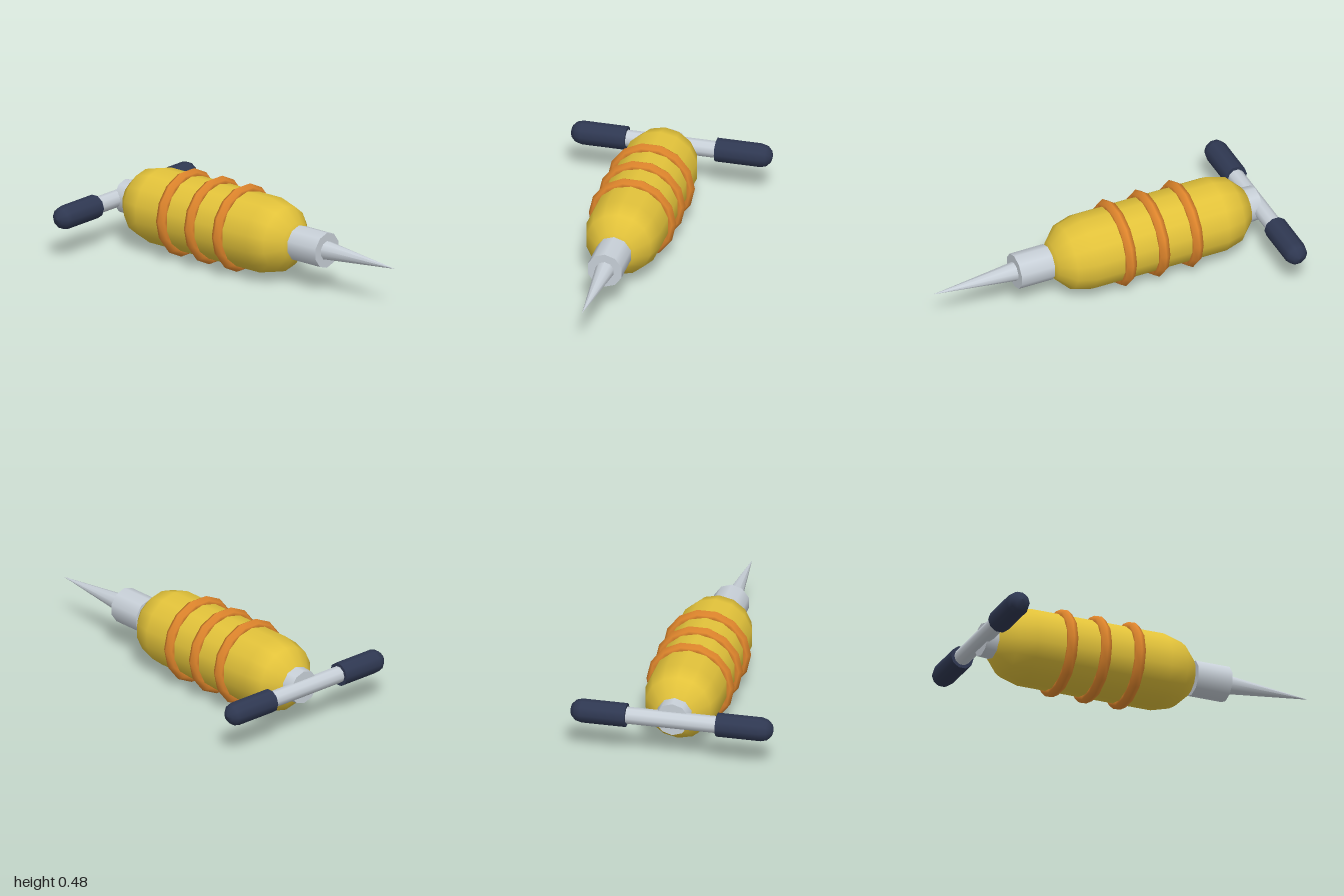
import * as THREE from 'three';
import { mergeGeometries } from 'three/addons/utils/BufferGeometryUtils.js';

const paint = (name, color) => {
  const m = new THREE.MeshStandardMaterial({ color });
  m.name = name;
  return m;
};

export function createModel() {
  const yellow = paint('yellow', 0xe2c23a);
  const orange = paint('orange', 0xe0862c);
  const steel = paint('steel', 0xc8d0d8);
  const navy = paint('navy', 0x2f3852);

  const model = new THREE.Group();
  model.name = 'jackhammer';
  const axisY = 0.243; // height of the tool's long axis
  const handleZ = -0.932;

  const add = (name, geometry, material, x, z) => {
    const mesh = new THREE.Mesh(geometry, material);
    mesh.name = name;
    mesh.position.set(x, axisY, z);
    model.add(mesh);
    return mesh;
  };
  // Ten-sided cylinder along z
  const barrel = (rFront, rBack, length) =>
    new THREE.CylinderGeometry(rFront, rBack, length, 10).rotateX(Math.PI / 2);

  // Rounded body
  const bodyR = 0.211;
  add('body', new THREE.CapsuleGeometry(bodyR, 0.785, 3, 14)
    .rotateY(Math.PI / 2).rotateX(Math.PI / 2), yellow, 0, -0.286);

  // Raised bands
  for (const z of [-0.087, -0.286, -0.485]) {
    add('band', new THREE.TorusGeometry(bodyR, 0.0335, 6, 14), orange, 0, z);
  }

  // Front chuck and tapered chisel
  add('chuck', barrel(0.099, 0.099, 0.2), steel, 0, 0.41);
  add('chisel', new THREE.ConeGeometry(0.053, 0.49, 10).rotateX(Math.PI / 2), steel, 0, 0.752);

  // Rear mount and cross bar
  add('handleMount', barrel(0.1, 0.094, 0.09), steel, 0, -0.885);
  add('handleBar', new THREE.CylinderGeometry(0.047, 0.047, 0.56, 10)
    .rotateZ(-Math.PI / 2), steel, 0, handleZ);

  // Grips: flat inner end, domed outer end
  const gripR = 0.066, gripIn = 0.25, domeX = 0.497;
  const profile = [new THREE.Vector2(gripR, gripIn)];
  for (let i = 0; i <= 3; i++) {
    const a = (i / 3) * Math.PI / 2;
    profile.push(new THREE.Vector2(i === 3 ? 0 : gripR * Math.cos(a), domeX + gripR * Math.sin(a)));
  }
  const grip = mergeGeometries([
    new THREE.LatheGeometry(profile, 10).rotateZ(-Math.PI / 2),
    new THREE.CircleGeometry(gripR, 10).rotateY(-Math.PI / 2).translate(gripIn, 0, 0),
  ]);
  add('leftGrip', grip, navy, 0, handleZ);
  add('rightGrip', grip, navy, 0, handleZ).rotation.y = Math.PI;

  return model;
}
